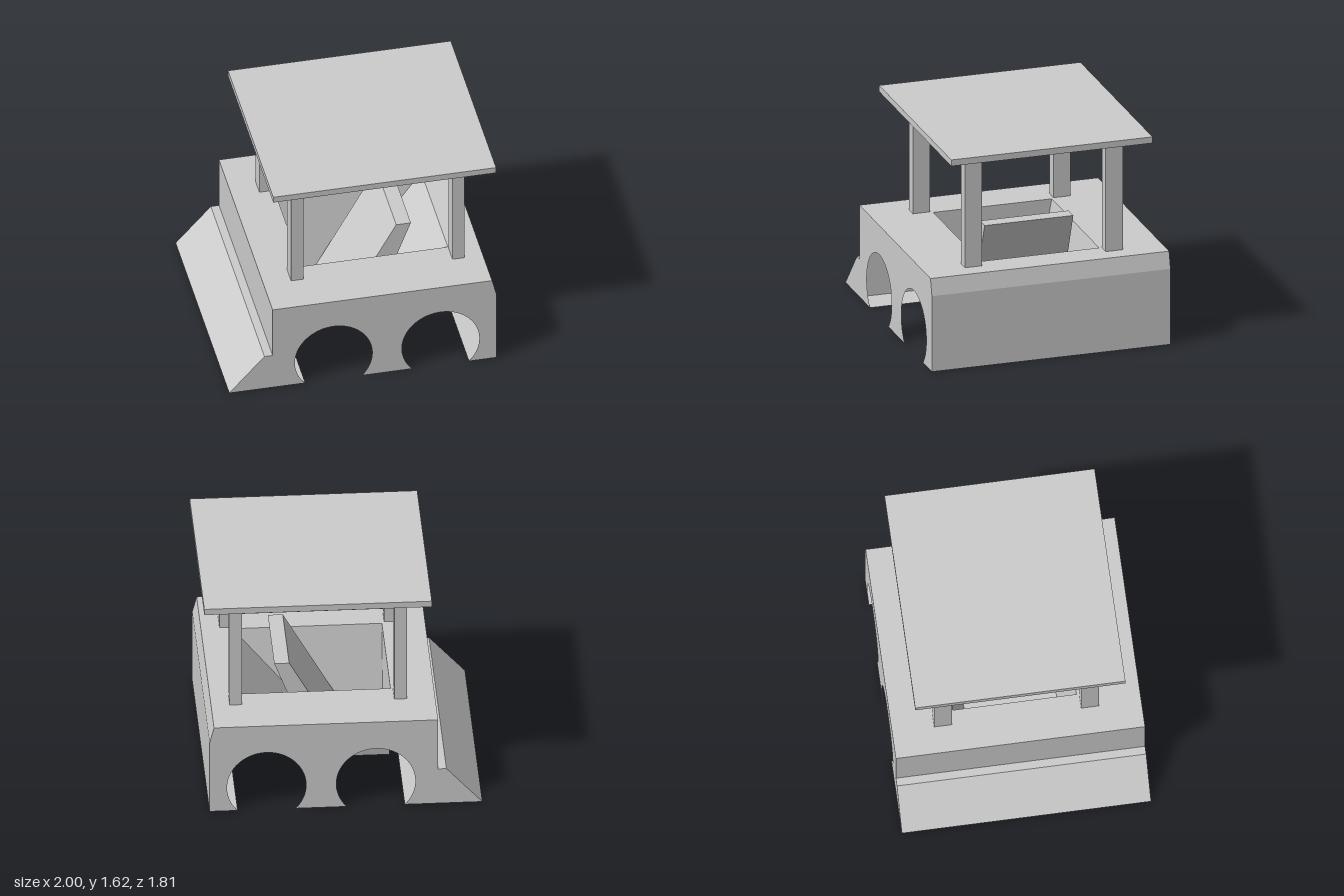
import * as THREE from 'three';

const HALF = 0.907; // half width of the body

export function createModel() {
  const model = new THREE.Group();
  const mat = new THREE.MeshStandardMaterial({ color: 0xcccccc, flatShading: true, side: THREE.DoubleSide });

  const add = (name, geometry, x = 0, y = 0, z = 0) => {
    const mesh = new THREE.Mesh(geometry, mat);
    mesh.name = name;
    mesh.position.set(x, y, z);
    model.add(mesh);
    return mesh;
  };
  const shapeOf = (pts) => new THREE.Shape(pts.map(([x, y]) => new THREE.Vector2(x, y)));
  const prism = (shape, depth) =>
    new THREE.ExtrudeGeometry(shape, { depth, bevelEnabled: false });

  // Open panel strip: a profile in x/y swept across the body width
  const sweep = (pts) => {
    const pos = [];
    for (let i = 0; i < pts.length - 1; i++) {
      const [ax, ay] = pts[i], [bx, by] = pts[i + 1];
      pos.push(ax, ay, HALF, ax, ay, -HALF, bx, by, -HALF);
      pos.push(ax, ay, HALF, bx, by, -HALF, bx, by, HALF);
    }
    const g = new THREE.BufferGeometry();
    g.setAttribute('position', new THREE.Float32BufferAttribute(pos, 3));
    g.computeVertexNormals();
    return g;
  };

  // Thin side panels with two wheel arches cut up from the bottom edge
  const archY = 0.195, archR = 0.286;
  const dx = Math.sqrt(archR * archR - archY * archY);
  const start = Math.atan2(-archY, -dx) + 2 * Math.PI, end = Math.atan2(-archY, dx);
  const arches = [-0.23, 0.56];
  const side = new THREE.Shape();
  side.moveTo(-1, 0);
  for (const cx of arches) {
    side.lineTo(cx - dx, 0);
    side.absarc(cx, archY, archR, start, end, true);
  }
  for (const [x, y] of [[0.972, 0], [0.972, 0.58], [0.94, 0.705], [-0.68, 0.705], [-0.68, 0.29], [-0.74, 0.29]]) {
    side.lineTo(x, y);
  }
  side.closePath();
  for (const s of [-1, 1]) add('sidePanel', new THREE.ShapeGeometry(side, 32), 0, 0, s * HALF);

  // End walls with their floor strips; the low end has a sloping bumper
  add('slopedEnd', sweep([[arches[0] - dx, 0], [-1, 0], [-0.74, 0.29], [-0.68, 0.29], [-0.68, 0.705]]));
  add('bumperInnerWall', sweep([[-0.68, 0], [-0.68, 0.29]]));
  add('flatEnd', sweep([[arches[1] + dx, 0], [0.972, 0], [0.972, 0.58], [0.94, 0.705]]));

  // Top deck with the cockpit opening
  const x0 = -0.367, x1 = 0.713, zTop = 0.45, zFloor = 0.337;
  const deck = shapeOf([[-0.68, -HALF], [0.94, -HALF], [0.94, HALF], [-0.68, HALF]]);
  deck.holes.push(shapeOf([[x0, -zTop], [x0, zTop], [x1, zTop], [x1, -zTop]]));
  add('topDeck', new THREE.ShapeGeometry(deck).rotateX(-Math.PI / 2), 0, 0.705, 0);

  // Cockpit tub: an open-topped box narrowing toward its floor
  const tub = new THREE.BoxGeometry(1, 1, 1);
  const p = tub.attributes.position;
  for (let i = 0; i < p.count; i++) {
    const top = p.getY(i) > 0;
    const x = p.getX(i) < 0 ? x0 : top ? x1 : 0.168;
    p.setXYZ(i, x, top ? 0.705 : 0.078, Math.sign(p.getZ(i)) * (top ? zTop : zFloor));
  }
  const index = Array.from(tub.index.array);
  index.splice(12, 6); // remove the lid
  tub.setIndex(index);
  tub.clearGroups();
  tub.computeVertexNormals();
  add('cockpitTub', tub);

  // Leaning seat back standing on the tub floor
  const seat = shapeOf([[-0.09, 0.08], [0.16, 0.08], [0.465, 0.88], [0.357, 0.88]]);
  add('seatBack', prism(seat, 2 * zFloor), 0, 0, -zFloor);

  // Roof frames: two posts joined by a rail on each side
  const frame = shapeOf([
    [-0.477, 0.705], [-0.385, 0.705], [-0.385, 1.473], [0.715, 1.473],
    [0.715, 0.705], [0.805, 0.705], [0.805, 1.573], [-0.477, 1.573],
  ]);
  for (const z of [-0.6, 0.47]) add('roofFrame', prism(frame, 0.13), 0, 0, z);

  // Flat roof
  add('roof', new THREE.BoxGeometry(1.645, 0.048, 1.53), 0.1775, 1.597, 0.004);

  return model;
}
